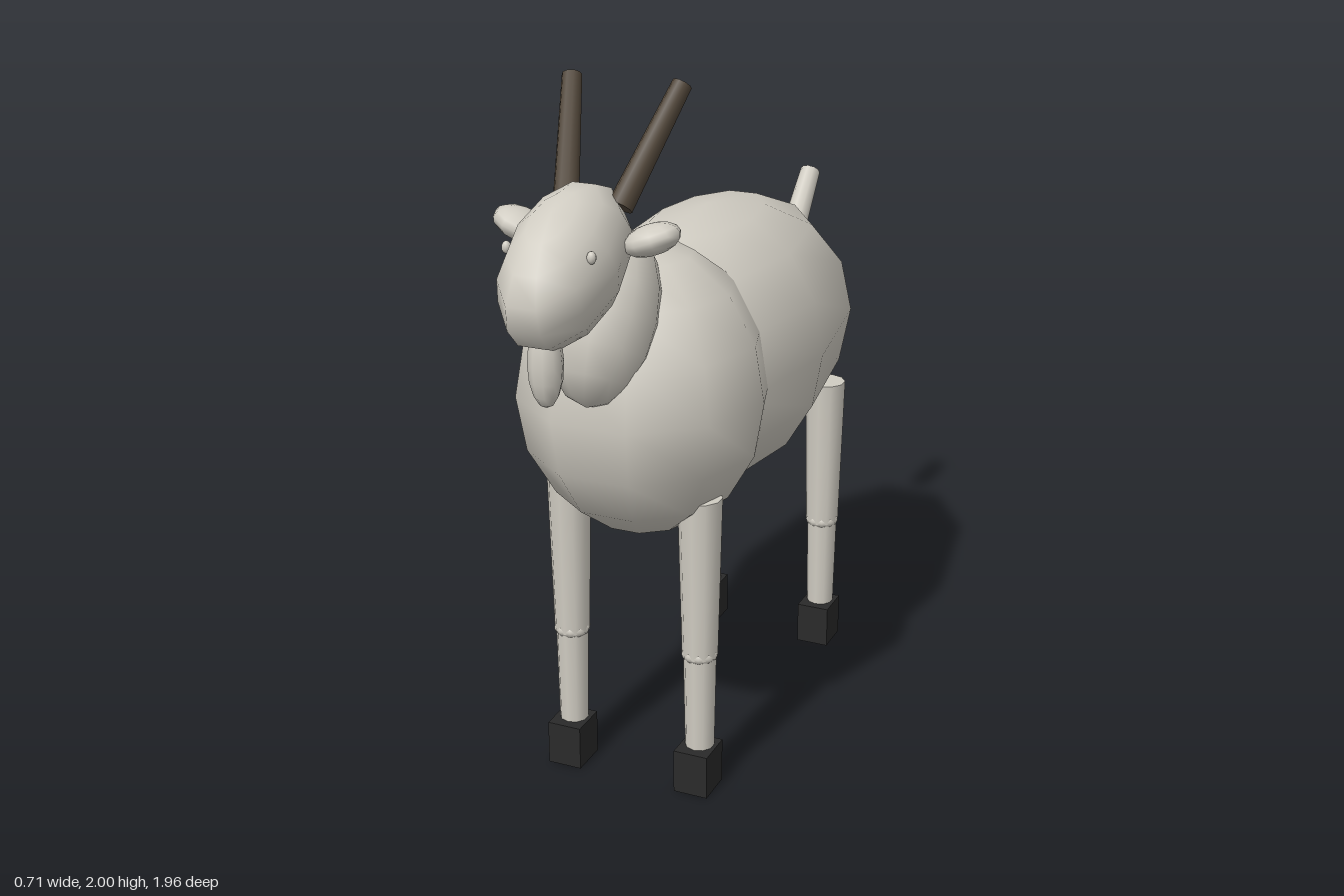
import * as THREE from 'three';

const wool = new THREE.MeshStandardMaterial({ color: 0xd0ccc2 });
wool.name = 'wool';
const horn = new THREE.MeshStandardMaterial({ color: 0x504538 });
horn.name = 'horn brown';
const dark = new THREE.MeshStandardMaterial({ color: 0x2a2a2a });
dark.name = 'hoof black';

export function createModel() {
  const goat = new THREE.Group();
  goat.name = 'goat';

  const add = (name, geometry, material, x, y, z) => {
    const mesh = new THREE.Mesh(geometry, material);
    mesh.name = name;
    mesh.position.set(x, y, z);
    goat.add(mesh);
    return mesh;
  };

  // Coarse sphere stretched to three radii
  const blob = (name, [x, y, z], [rx, ry, rz]) =>
    add(name, new THREE.SphereGeometry(1, 10, 8).scale(rx, ry, rz), wool, x, y, z);

  // Tapered rod between two points
  const rod = (name, from, to, r0, r1, material) => {
    const a = new THREE.Vector3(...from);
    const b = new THREE.Vector3(...to);
    const dir = b.clone().sub(a);
    const mid = a.clone().add(b).multiplyScalar(0.5);
    const mesh = add(name, new THREE.CylinderGeometry(r1, r0, dir.length(), 10), material, mid.x, mid.y, mid.z);
    mesh.quaternion.setFromUnitVectors(new THREE.Vector3(0, 1, 0), dir.normalize());
    return mesh;
  };

  // Trunk, neck and head
  blob('body', [0, 1.14, -0.11], [0.355, 0.403, 0.745]);
  blob('chest', [0, 1.14, 0.31], [0.345, 0.403, 0.363]);
  blob('neck', [0, 1.41, 0.548], [0.145, 0.238, 0.167]).rotation.x = -0.5;
  blob('head', [0, 1.6, 0.755], [0.14, 0.163, 0.257]).rotation.x = 0.45;
  blob('beard', [0, 1.385, 0.87], [0.045, 0.112, 0.045]);
  rod('tail', [0, 1.31, -0.828], [0, 1.447, -0.955], 0.037, 0.031, wool);

  for (const side of [-1, 1]) {
    const label = side > 0 ? 'left' : 'right';

    // Features of the head
    blob(label + 'Ear', [side * 0.178, 1.655, 0.642], [0.078, 0.039, 0.063]).rotation.z = side * 0.35;
    blob(label + 'Eye', [side * 0.113, 1.655, 0.84], [0.012, 0.016, 0.012]);
    rod(label + 'Horn', [side * 0.074, 1.715, 0.602], [side * 0.152, 1.987, 0.402], 0.033, 0.026, horn);

    // Legs with knees and block hooves
    for (const [end, z] of [['Front', 0.388], ['Back', -0.595]]) {
      const leg = label + end;
      const x = side * 0.196;
      rod(leg + 'UpperLeg', [x, 0.41, z], [x, 0.88, z], 0.05, 0.061, wool);
      blob(leg + 'Knee', [x, 0.415, z], [0.052, 0.03, 0.052]);
      rod(leg + 'LowerLeg', [x, 0.06, z], [x, 0.41, z], 0.04, 0.046, wool);
      add(leg + 'Hoof', new THREE.BoxGeometry(0.1, 0.128, 0.112), dark, x, 0.064, z + 0.011);
    }
  }
  return goat;
}
